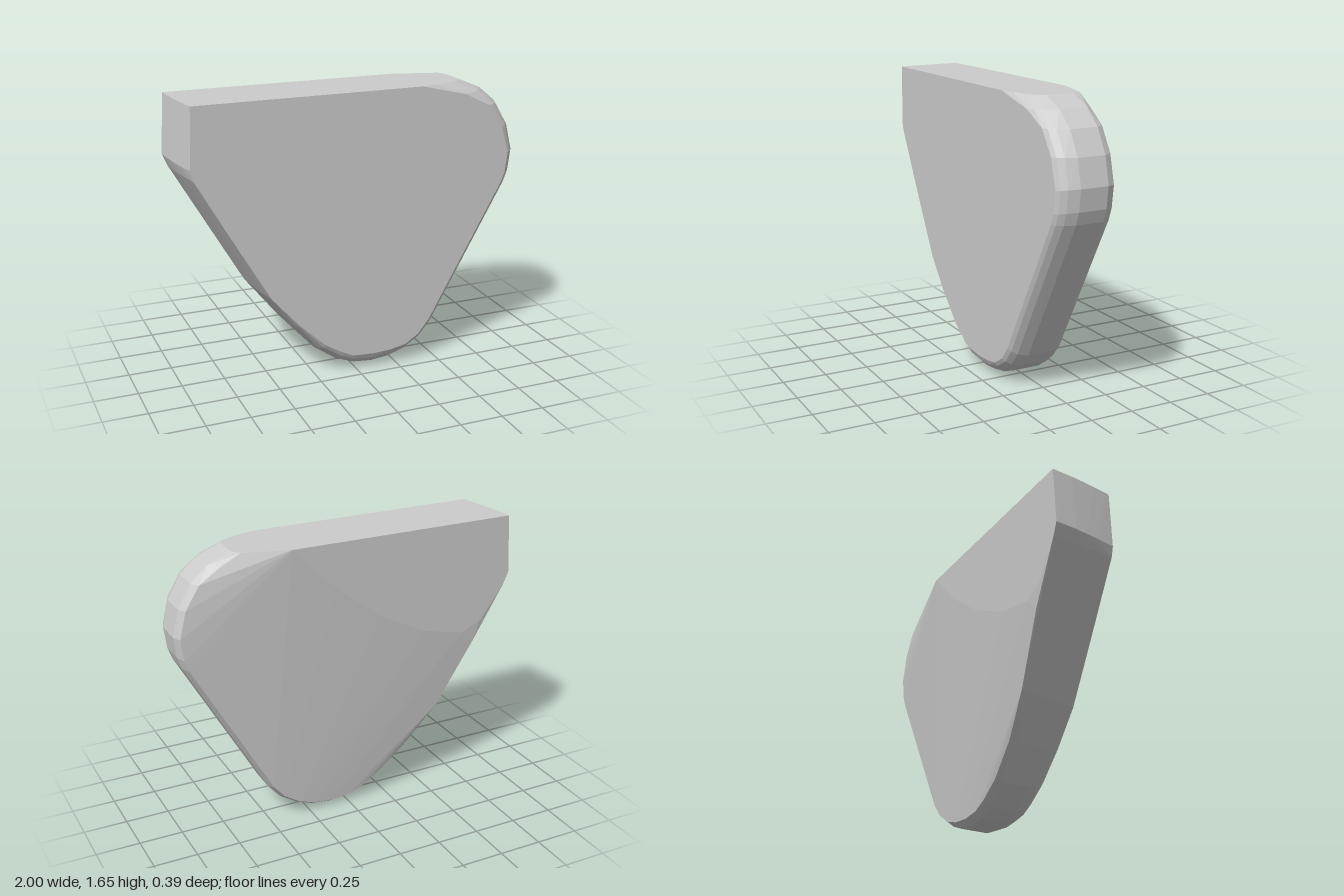
import * as THREE from 'three';
import { ConvexGeometry } from 'three/addons/geometries/ConvexGeometry.js';

// Rim stations, clockwise from the top: widest outline x, y, then front face outline x, y
const STATIONS = [
  [0.66, 1.65, 0.38, 1.65], [0.79, 1.595, 0.65, 1.585], [0.89, 1.51, 0.8, 1.51],
  [0.965, 1.38, 0.89, 1.38], [1.0, 1.23, 0.935, 1.22], [0.985, 1.11, 0.92, 1.1],
  [0.96, 1.04, 0.895, 1.04], [0.49, 0.2, 0.45, 0.25], [0.42, 0.12, 0.38, 0.165],
  [0.32, 0.055, 0.3, 0.115], [0.22, 0.015, 0.2, 0.097], [0.1, 0, 0.1, 0.092],
  [0, 0.012, -0.03, 0.1], [-0.1, 0.05, -0.1, 0.135], [-0.24, 0.145, -0.2, 0.195],
  [-0.4, 0.31, -0.36, 0.345], [-0.57, 0.53, -0.52, 0.53], [-0.78, 0.91, -0.73, 0.895],
  [-0.97, 1.24, -0.93, 1.25], [-1.0, 1.31, -0.945, 1.31], [-0.98, 1.65, -0.932, 1.65],
];

// Boundary of the flat, thickest area of the back face
const BACK_FLAT = [
  [0.37, 1.65], [0.12, 1.4], [-0.154, 1.19], [-0.45, 1.04], [-0.7, 0.985],
  [-0.82, 1.035], [-0.9, 1.15], [-1.0, 1.32], [-0.98, 1.65],
];

// Depth layers of the rounded rim: z and inset towards the front outline
const LAYERS = [[-0.07, 0], [0, 0], [0.09, 0], [0.15, 0.3], [0.182, 0.65], [0.197, 1]];

export function createModel() {
  const group = new THREE.Group();
  const points = [];
  const add = (x, y, z) => points.push(new THREE.Vector3(x, y, z));

  for (const [x, y, fx, fy] of STATIONS) {
    // The left side leans in one long bow rather than a rounded rim
    const lean = THREE.MathUtils.clamp((-x - 0.2) / 0.4, 0, 1);
    for (const [z, inset] of LAYERS) {
      const bow = Math.pow((z + 0.2) / 0.397, 1.5);
      const t = THREE.MathUtils.lerp(inset, bow, lean);
      add(THREE.MathUtils.lerp(x, fx, t), THREE.MathUtils.lerp(y, fy, t), z);
    }
    // Back edge: level on the right, tapering from thick to thin on the lower left
    const taper = -0.118 - 0.08 * THREE.MathUtils.clamp((y - 0.03) / 0.98, 0, 1);
    const z = THREE.MathUtils.lerp(-0.116, taper, lean);
    const t = 0.35 * (1 - lean);
    if (y < 1.64) add(THREE.MathUtils.lerp(x, fx, t), THREE.MathUtils.lerp(y, fy, t), z);
  }
  add(0.63, 1.65, -0.125);
  add(0.6, 1.65, 0.14);
  for (const [x, y] of BACK_FLAT) add(x, y, -0.198);

  const body = new THREE.Mesh(
    new ConvexGeometry(points),
    new THREE.MeshStandardMaterial({ color: 0xcccccc, flatShading: true })
  );
  body.name = 'roundedWedgeBody';
  group.add(body);
  return group;
}
